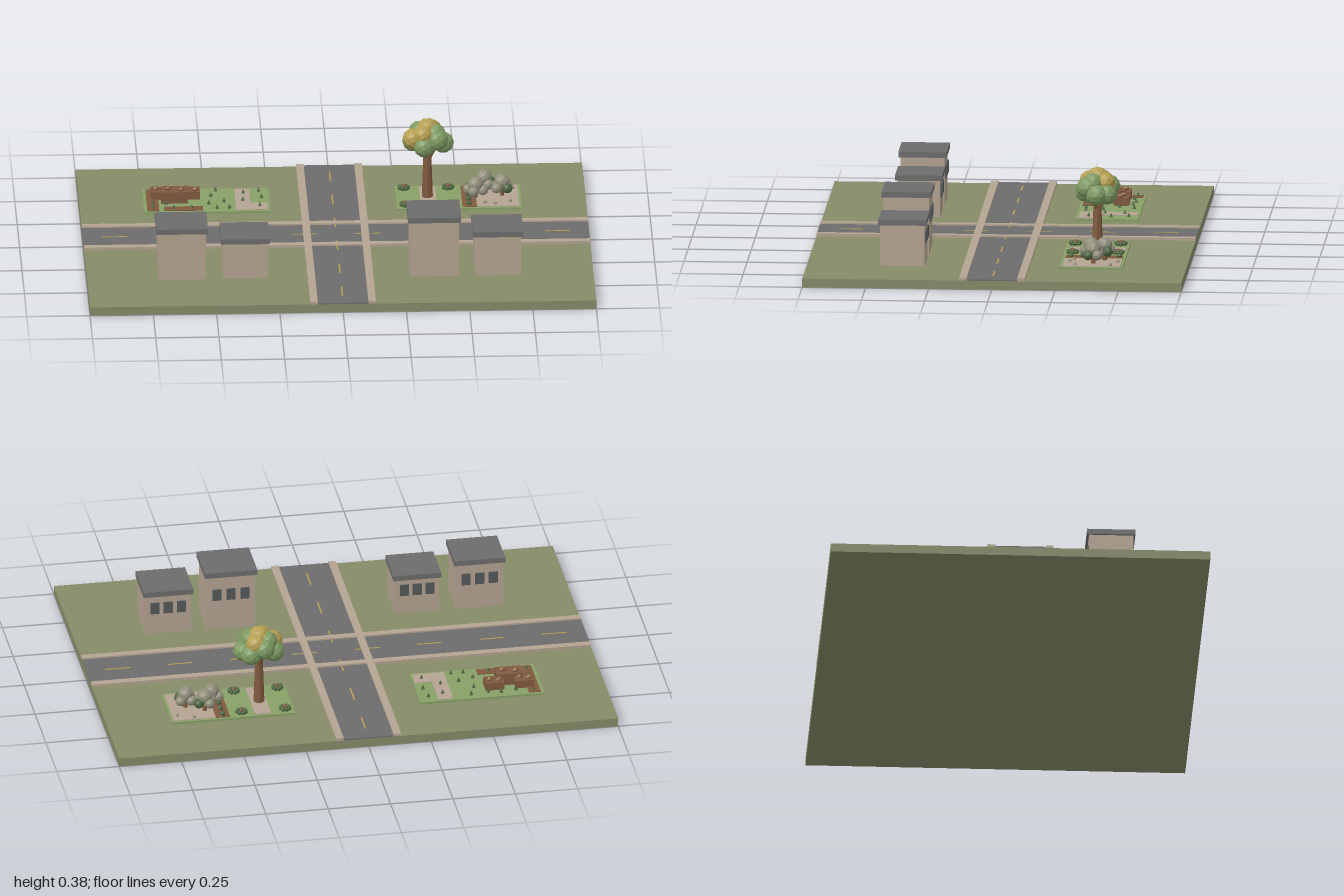
import * as THREE from 'three';

const mat = (name, color, flat = false) => {
  const m = new THREE.MeshStandardMaterial({ color, flatShading: flat });
  m.name = name;
  return m;
};

export function createModel() {
  const ground = mat('field green', 0x858a68);
  const lawn = mat('lawn green', 0x87a067);
  const asphalt = mat('asphalt grey', 0x6c6c6c);
  const tan = mat('pale stone', 0xb3a391);
  const yellow = mat('ochre yellow', 0xb59f52, true);
  const brown = mat('wood brown', 0x805a3f, true);
  const leaf = mat('leaf green', 0x7d9a62, true);
  const dark = mat('dark green', 0x4d6640, true);
  const sage = mat('sage grey', 0x928f7c, true);
  const glass = mat('window grey', 0x54585a);

  const model = new THREE.Group();
  model.name = 'crossroads';
  const group = (name, parent = model) => {
    const g = new THREE.Group();
    g.name = name;
    parent.add(g);
    return g;
  };
  const add = (parent, name, geo, material, x, y, z) => {
    const m = new THREE.Mesh(geo, material);
    m.name = name;
    m.position.set(x, y, z);
    parent.add(m);
    return m;
  };
  // Box given by its x, y and z ranges
  const slab = (parent, name, material, x0, x1, y0, y1, z0, z1) =>
    add(parent, name, new THREE.BoxGeometry(x1 - x0, y1 - y0, z1 - z0), material,
      (x0 + x1) / 2, (y0 + y1) / 2, (z0 + z1) / 2);
  const blob = (parent, name, material, r, x, y, z, detail = 1) =>
    add(parent, name, new THREE.IcosahedronGeometry(r, detail), material, x, y, z);

  // Ground and crossing roads
  const G = 0.035;
  slab(model, 'ground', ground, -1, 1, 0, G, -0.75, 0.75);
  const roads = group('roads');
  slab(roads, 'mainRoad', asphalt, -1, 1, G, 0.04, -0.1, 0.1);
  for (const s of [-1, 1])
    slab(roads, 'sideRoad', asphalt, -0.1, 0.1, G, 0.04, s < 0 ? -0.75 : 0.1, s < 0 ? -0.1 : 0.75);
  for (const s of [-0.115, 0.115]) {
    slab(roads, 'mainPavement', tan, -1, 1, G, 0.046, s - 0.015, s + 0.015);
    slab(roads, 'sidePavement', tan, s - 0.015, s + 0.015, G, 0.0462, -0.75, 0.75);
  }
  for (let i = 0; i < 8; i++) {
    const x = -0.875 + i * 0.25;
    slab(roads, 'laneDash', yellow, x - 0.05, x + 0.05, 0.04, 0.0415, -0.003, 0.003);
  }
  for (let i = 0; i < 6; i++) {
    const z = -0.625 + i * 0.25;
    slab(roads, 'laneDash', yellow, -0.003, 0.003, 0.04, 0.0415, z - 0.05, z + 0.05);
  }

  // Flat-roofed houses with three windows in the back wall: x, width, depth, height
  const houses = [
    [-0.625, 0.188, 0.175, 0.25], [-0.375, 0.176, 0.17, 0.204],
    [0.372, 0.194, 0.18, 0.285], [0.623, 0.183, 0.176, 0.221]];
  for (const [x, w, d, h] of houses) {
    const house = group('house');
    const z = 0.372;
    slab(house, 'walls', tan, x - w / 2, x + w / 2, G, h - 0.022, z - d / 2, z + d / 2);
    slab(house, 'roof', asphalt, x - w / 2 - 0.008, x + w / 2 + 0.008, h - 0.022, h,
      z - d / 2 - 0.008, z + d / 2 + 0.008);
    const wy = G + (h - G) * 0.6;
    for (const k of [-1, 0, 1]) {
      const wx = x + k * w * 0.29;
      slab(house, 'window', glass, wx - 0.018, wx + 0.018, wy - 0.024, wy + 0.024,
        z - d / 2 - 0.006, z - d / 2 + 0.002);
    }
  }

  // Vegetable garden on the right-hand side (-x)
  const T = 0.044, P = 0.047;
  const garden = group('vegetableGarden');
  slab(garden, 'lawn', lawn, -0.748, -0.25, G, T, -0.5, -0.25);
  slab(garden, 'soilBed', brown, -0.735, -0.688, T, P, -0.49, -0.262);
  slab(garden, 'soilBed', brown, -0.668, -0.515, T, P, -0.305, -0.262);
  slab(garden, 'path', tan, -0.385, -0.325, T, P, -0.49, -0.262);
  slab(garden, 'pathEnd', tan, -0.325, -0.258, T, P, -0.335, -0.262);
  const crates = [[-0.68, -0.415, 0.075, 0.06, 0.032], [-0.625, -0.376, 0.105, 0.068, 0.048],
    [-0.56, -0.415, 0.075, 0.06, 0.032]];
  for (const [x, z, w, d, h] of crates) {
    slab(garden, 'crate', brown, x - w / 2, x + w / 2, T, T + h, z - d / 2, z + d / 2);
    for (const k of [-1, 1]) {
      const ring = add(garden, 'coil', new THREE.TorusGeometry(0.011, 0.005, 5, 9), brown,
        x + k * w * 0.24, T + h + 0.004, z + k * 0.006);
      ring.rotation.x = Math.PI / 2;
      blob(garden, 'produce', yellow, 0.006, x + k * w * 0.24, T + h + 0.005, z + k * 0.006, 0);
    }
  }
  const sprouts = [[-0.64, -0.46], [-0.58, -0.47], [-0.53, -0.46], [-0.48, -0.41], [-0.46, -0.47],
    [-0.43, -0.35], [-0.49, -0.33], [-0.41, -0.28], [-0.66, -0.33], [-0.29, -0.46], [-0.28, -0.39],
    [-0.35, -0.44], [-0.355, -0.36], [-0.29, -0.30], [-0.71, -0.47], [-0.71, -0.34],
    [-0.71, -0.29], [-0.63, -0.283], [-0.56, -0.283], [-0.46, -0.28]];
  sprouts.forEach(([x, z], i) => {
    const s = add(garden, 'sprout', new THREE.ConeGeometry(0.008, 0.018, 5), dark, x, P + 0.008, z);
    s.rotation.y = i;
  });

  // Tree garden on the left-hand side (+x)
  const park = group('treeGarden');
  slab(park, 'lawn', lawn, 0.25, 0.745, G, T, -0.5, -0.25);
  slab(park, 'path', tan, 0.345, 0.41, T, P, -0.49, -0.262);
  slab(park, 'soilBed', brown, 0.51, 0.567, T, P, -0.49, -0.262);
  slab(park, 'gravel', tan, 0.567, 0.735, T, P, -0.49, -0.262);

  // Corner shrubs: a ring of leaves around a brown heart
  for (const x of [0.285, 0.46]) for (const z of [-0.465, -0.285]) {
    const shrub = group('shrub', park);
    for (let i = 0; i < 7; i++) {
      const a = i / 7 * Math.PI * 2;
      blob(shrub, 'leaf', dark, 0.01, x + 0.017 * Math.cos(a), T + 0.008, z + 0.017 * Math.sin(a), 0);
    }
    blob(shrub, 'heart', brown, 0.011, x, T + 0.012, z, 0);
  }

  // Tree with a clustered crown
  const tree = group('tree', park);
  const tx = 0.375, tz = -0.378;
  add(tree, 'trunk', new THREE.CylinderGeometry(0.015, 0.022, 0.2, 8), brown, tx, T + 0.1, tz);
  for (let i = 0; i < 3; i++) {
    const a = i * 2.1 + 0.4;
    const b = add(tree, 'branch', new THREE.CylinderGeometry(0.006, 0.009, 0.08, 6), brown,
      tx + 0.02 * Math.cos(a), 0.235, tz + 0.02 * Math.sin(a));
    b.rotation.set(0.5 * Math.sin(a), 0, -0.5 * Math.cos(a));
  }
  blob(tree, 'crownCore', leaf, 0.06, tx, 0.292, tz);
  for (let i = 0; i < 7; i++) {
    const a = i / 7 * Math.PI * 2;
    blob(tree, 'crownLobe', i === 3 ? yellow : leaf, 0.043,
      tx + 0.062 * Math.cos(a), 0.275 + (i % 2) * 0.025, tz + 0.048 * Math.sin(a));
  }
  for (let i = 0; i < 4; i++) {
    const a = i * Math.PI / 2 + 0.5;
    blob(tree, 'upperLobe', i % 2 ? yellow : leaf, 0.042,
      tx + 0.035 * Math.cos(a), 0.318, tz + 0.035 * Math.sin(a));
  }
  blob(tree, 'crownTop', yellow, 0.045, tx, 0.332, tz);

  // Rounded bushes on short stems
  const bushes = group('bushes', park);
  for (const [cx, cz, h] of [[0.565, -0.365, 0.1], [0.6, -0.42, 0.108], [0.67, -0.38, 0.105]]) {
    add(bushes, 'stem', new THREE.CylinderGeometry(0.007, 0.01, h - T, 6), brown, cx, (h + T) / 2, cz);
    blob(bushes, 'bushTop', sage, 0.032, cx, h, cz);
    for (let i = 0; i < 4; i++) {
      const a = i * Math.PI / 2 + cx * 20;
      blob(bushes, 'bushLobe', i === 0 ? dark : sage, 0.021,
        cx + 0.03 * Math.cos(a), h - 0.022, cz + 0.026 * Math.sin(a));
    }
  }
  // Plants in the soil bed and pebbles on the gravel
  for (let i = 0; i < 5; i++)
    blob(park, 'bedPlant', dark, 0.012, 0.537, P + 0.006, -0.475 + i * 0.048, 0);
  for (const [x, z] of [[0.6, -0.3], [0.64, -0.285], [0.7, -0.31], [0.715, -0.45], [0.65, -0.475], [0.375, -0.275]])
    blob(park, 'pebble', sage, 0.008, x, P + 0.003, z, 0);

  return model;
}
